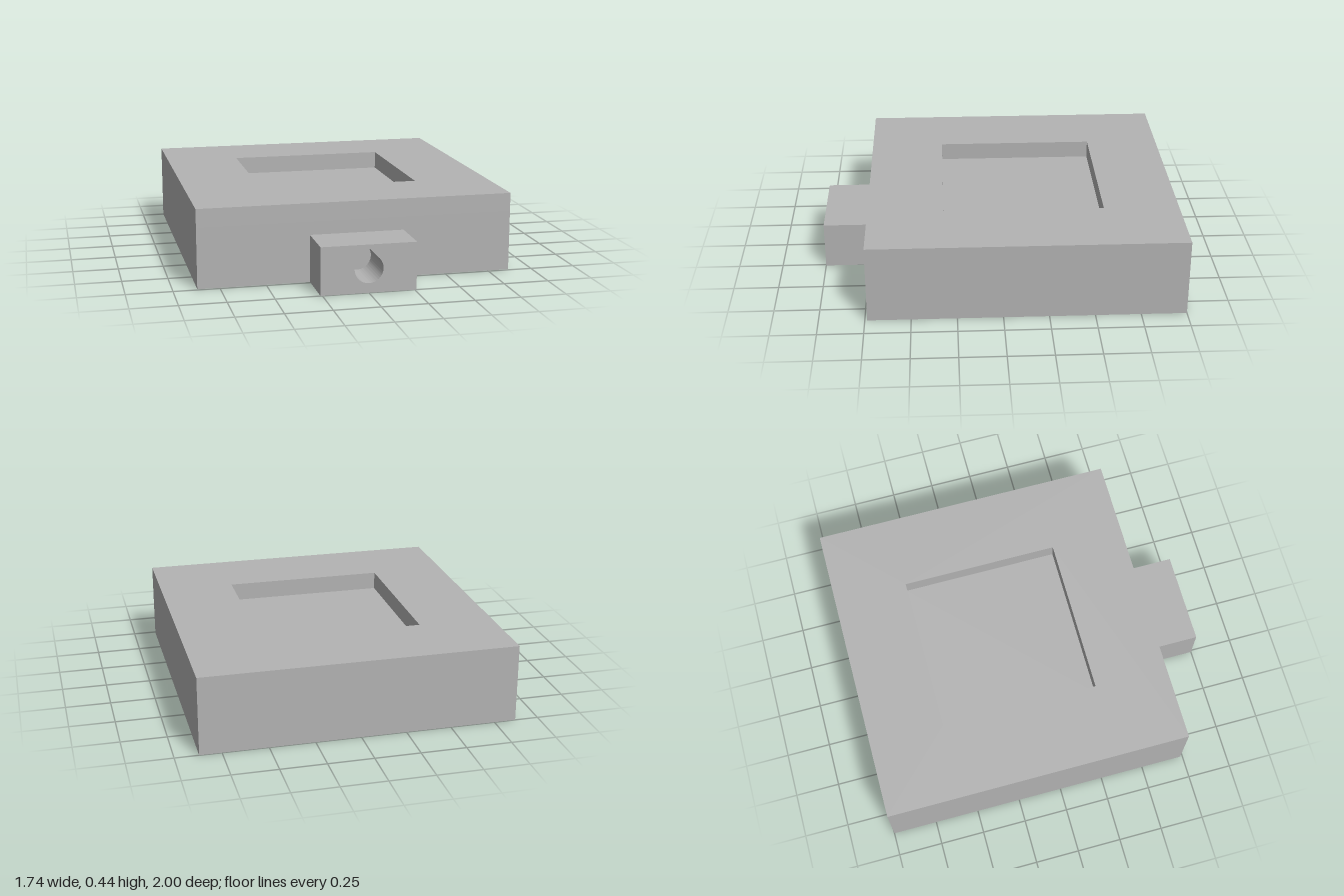
import * as THREE from 'three';
import { toCreasedNormals } from 'three/addons/utils/BufferGeometryUtils.js';

const HALF_W = 0.87, HEIGHT = 0.436, BACK = -1, FRONT = 0.737;
const POCKET = 0.447, FLOOR = 0.336;
const PORT_W = 0.26, PORT_H = 0.262, HOLE_Y = 0.131, HOLE_R = 0.078;

// Rectangle traced anticlockwise
function rect(target, x0, y0, x1, y1) {
  target.moveTo(x0, y0).lineTo(x1, y0).lineTo(x1, y1).lineTo(x0, y1).closePath();
  return target;
}

export function createModel() {
  const group = new THREE.Group();
  const grey = new THREE.MeshStandardMaterial({ color: 0xb3b3b3 });
  grey.name = 'grey';
  const add = (name, geometry) => {
    const mesh = new THREE.Mesh(geometry, grey);
    mesh.name = name;
    group.add(mesh);
    return mesh;
  };

  const depth = FRONT - BACK, midZ = (FRONT + BACK) / 2;

  // Solid lower slab; its top is the pocket floor
  add('baseSlab', new THREE.BoxGeometry(HALF_W * 2, FLOOR, depth))
    .position.set(0, FLOOR / 2, midZ);

  // Rim around the square pocket
  const rim = rect(new THREE.Shape(), -HALF_W, -depth / 2, HALF_W, depth / 2);
  rim.holes.push(rect(new THREE.Path(), -POCKET, -POCKET, POCKET, POCKET));
  const rimGeometry = new THREE.ExtrudeGeometry(rim, { depth: HEIGHT - FLOOR, bevelEnabled: false });
  rimGeometry.rotateX(-Math.PI / 2);
  add('pocketRim', rimGeometry).position.set(0, FLOOR, midZ);

  // Front port with a teardrop bore
  const port = rect(new THREE.Shape(), -PORT_W, 0, PORT_W, PORT_H);
  const bore = new THREE.Path();
  bore.absarc(0, HOLE_Y, HOLE_R, Math.PI * 0.75, Math.PI * 2.25, false);
  bore.lineTo(0, HOLE_Y + HOLE_R * Math.SQRT2);
  bore.closePath();
  port.holes.push(bore);
  const portGeometry = new THREE.ExtrudeGeometry(port, {
    depth: 1 - FRONT, bevelEnabled: false, curveSegments: 48,
  });
  add('frontPort', toCreasedNormals(portGeometry, 0.5)).position.z = FRONT;

  return group;
}
